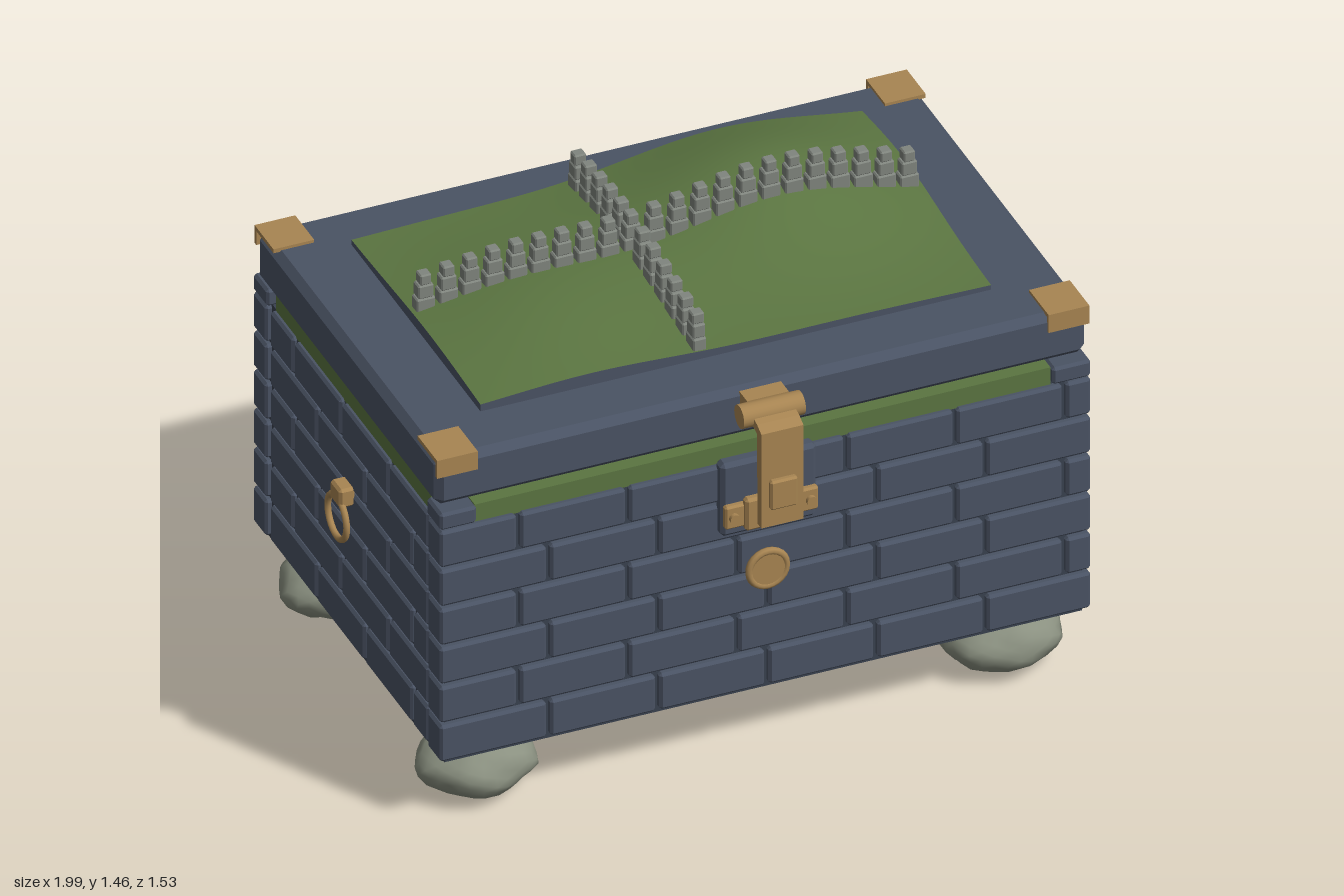
import * as THREE from 'three';
import { ConvexGeometry } from 'three/addons/geometries/ConvexGeometry.js';
import { mergeVertices } from 'three/addons/utils/BufferGeometryUtils.js';

const material = (name, color) => {
  const m = new THREE.MeshStandardMaterial({ color });
  m.name = name;
  return m;
};

const CX = 0.015, CZ = -0.025; // centre of the chest body

export function createModel() {
  const slate = material('slate', 0x4a5364);
  const mortar = material('mortar', 0x39414f);
  const brass = material('brass', 0xa88552);
  const moss = material('moss', 0x5b7541);
  const stone = material('stone', 0x80857e);
  const rock = material('rock', 0x8a9080);

  const model = new THREE.Group();
  model.name = 'stoneChest';
  const group = (name) => {
    const g = new THREE.Group();
    g.name = name;
    model.add(g);
    return g;
  };
  const add = (parent, name, geometry, mat, x = 0, y = 0, z = 0) => {
    const m = new THREE.Mesh(geometry, mat);
    m.name = name;
    m.position.set(x, y, z);
    parent.add(m);
    return m;
  };

  // Box given by its limits, with optional chamfered edges
  const box = (parent, name, mat, x0, x1, y0, y1, z0, z1, c = 0) => {
    const w = (x1 - x0) / 2, h = (y1 - y0) / 2, d = (z1 - z0) / 2;
    let geo = new THREE.BoxGeometry(2 * w, 2 * h, 2 * d);
    if (c > 0) {
      const pts = [];
      for (const i of [-1, 1]) for (const j of [-1, 1]) for (const k of [-1, 1]) {
        pts.push(new THREE.Vector3(i * w, j * (h - c), k * (d - c)),
          new THREE.Vector3(i * (w - c), j * h, k * (d - c)),
          new THREE.Vector3(i * (w - c), j * (h - c), k * d));
      }
      geo = new ConvexGeometry(pts);
    }
    return add(parent, name, geo, mat, (x0 + x1) / 2, (y0 + y1) / 2, (z0 + z1) / 2);
  };

  // Cylinder lying along x or z
  const rod = (parent, name, mat, r, length, axis, x, y, z, sides = 20) => {
    const geo = new THREE.CylinderGeometry(r, r, length, sides);
    if (axis === 'x') geo.rotateZ(Math.PI / 2);
    else geo.rotateX(Math.PI / 2);
    return add(parent, name, geo, mat, x, y, z);
  };

  // Core and base
  const body = group('body');
  box(body, 'core', mortar, -0.94, 0.97, 0.215, 0.995, -0.66, 0.61);
  box(body, 'base', slate, -0.89, 0.915, 0.188, 0.23, -0.585, 0.54, 0.008);

  // Brick walls: six courses with alternating seams
  const bricks = group('bricks');
  const course = (start, end, first, pitch) => {
    const cuts = [start];
    for (let s = first; s < end - 0.03; s += pitch) cuts.push(s);
    cuts.push(end);
    return cuts;
  };
  const gap = 0.006;
  for (let row = 0; row < 6; row++) {
    const y1 = 0.99 - row * 0.1285, y0 = y1 - 0.118, odd = row % 2;
    const along = course(-0.96, 0.99, odd ? -0.635 : -0.725, 0.327);
    for (let i = 0; i + 1 < along.length; i++) {
      const a = along[i] + (i ? gap : 0);
      const b = along[i + 1] - (i + 2 < along.length ? gap : 0);
      box(bricks, 'frontBrick', slate, a, b, y0, y1, 0.54, 0.63, 0.008);
      box(bricks, 'backBrick', slate, a, b, y0, y1, -0.68, -0.59, 0.008);
    }
    const across = course(-0.578, 0.53, odd ? -0.245 : -0.41, 0.332);
    for (let i = 0; i + 1 < across.length; i++) {
      const a = across[i] + gap, b = across[i + 1] - gap;
      box(bricks, 'leftBrick', slate, 0.9, 0.985, y0, y1, a, b, 0.008);
      box(bricks, 'rightBrick', slate, -0.955, -0.87, y0, y1, a, b, 0.008);
    }
  }

  // Moss band and corner blocks on the rim
  const rim = group('rim');
  box(rim, 'mossBandLong', moss, -0.85, 0.875, 0.985, 1.046, -0.66, 0.613);
  box(rim, 'mossBandWide', moss, -0.94, 0.97, 0.985, 1.045, -0.562, 0.518);
  for (const [x0, x1] of [[-0.96, -0.85], [0.875, 0.99]]) {
    box(rim, 'frontCornerBlock', slate, x0, x1, 0.995, 1.05, 0.53, 0.63, 0.008);
    box(rim, 'backCornerBlock', slate, x0, x1, 0.995, 1.05, -0.68, -0.58, 0.008);
  }

  // Lid with brass corner brackets
  const lid = group('lid');
  box(lid, 'lidSlab', slate, -0.96, 0.99, 1.053, 1.21, -0.652, 0.602, 0.022);
  for (const [x0, x1] of [[-0.962, -0.84], [0.87, 0.992]]) {
    box(lid, 'frontBracketTop', brass, x0, x1, 1.206, 1.219, 0.475, 0.61);
    box(lid, 'frontBracketFlange', brass, x0, x1, 1.16, 1.219, 0.6, 0.612);
    box(lid, 'backBracketTop', brass, x0, x1, 1.206, 1.219, -0.662, -0.53);
    box(lid, 'backBracketFlange', brass, x0, x1, 1.16, 1.219, -0.662, -0.65);
  }

  // Hilly ground on the lid: grass on top, slate on the sides
  const bump = (x, z, cx, cz, sx, sz) =>
    Math.exp(-((x - cx) ** 2) / (2 * sx * sx) - ((z - cz) ** 2) / (2 * sz * sz));
  const height = (x, z) => 1.222 + 0.148 * bump(x, z, 0.35, -0.2, 0.29, 0.26)
    + 0.062 * bump(x, z, -0.42, 0.06, 0.24, 0.28);
  const ground = new THREE.BoxGeometry(1.53, 0.02, 0.9, 40, 1, 26);
  ground.translate(CX, 1.21, -0.03);
  const gp = ground.attributes.position;
  for (let i = 0; i < gp.count; i++) {
    if (gp.getY(i) > 1.21) gp.setY(i, height(gp.getX(i), gp.getZ(i)));
  }
  ground.computeVertexNormals();
  add(model, 'hillyGround', ground, [slate, slate, moss, slate, slate, slate]);

  // Two crossing walls of small stepped towers that follow the ground
  const walls = group('miniatureWalls');
  const tower = (x, z, alongX) => {
    const y = height(x, z);
    [[0.056, -0.02, 0.035], [0.046, 0.035, 0.078], [0.034, 0.078, 0.112]].forEach(([w, y0, y1], i) => {
      const a = w / 2, b = 0.02 - i * 0.001;
      const hx = alongX ? a : b, hz = alongX ? b : a;
      box(walls, 'towerStep', stone, x - hx, x + hx, y + y0, y + y1, z - hz, z + hz, 0.004);
    });
  };
  for (let i = 0; i < 22; i++) tower(-0.71 + i * 0.069, -0.07, true);
  for (let i = 0; i < 12; i++) if (i !== 5) tower(-0.09, -0.435 + i * 0.0748, false);

  // Front latch: lock plate, hinged hasp, catch and round boss
  const latch = group('latch');
  box(latch, 'lockPlate', slate, -0.13, 0.157, 0.77, 1.01, 0.61, 0.658, 0.012);
  box(latch, 'haspMount', brass, -0.05, 0.075, 1.13, 1.2, 0.595, 0.65);
  rod(latch, 'haspPin', brass, 0.035, 0.185, 'x', 0.013, 1.165, 0.664);
  const strap = new THREE.Shape([
    [0.66, 1.18], [0.66, 1.15], [0.72, 1.135], [0.722, 0.84], [0.75, 0.84], [0.75, 1.15], [0.72, 1.165],
  ].map(([z, y]) => new THREE.Vector2(-z, y)));
  const strapGeo = new THREE.ExtrudeGeometry(strap, { depth: 0.126, bevelEnabled: false });
  strapGeo.rotateY(Math.PI / 2);
  add(latch, 'haspStrap', strapGeo, brass, -0.05, 0, 0);
  box(latch, 'haspStud', brass, -0.028, 0.054, 0.9, 0.995, 0.74, 0.766, 0.006);
  box(latch, 'catchPlate', brass, -0.125, 0.155, 0.805, 0.88, 0.65, 0.675, 0.006);
  box(latch, 'catchBlock', brass, -0.07, 0.095, 0.795, 0.9, 0.66, 0.69, 0.008);
  for (const x of [-0.1, 0.13]) rod(latch, 'rivet', brass, 0.015, 0.02, 'z', x, 0.843, 0.677, 12);
  rod(latch, 'boss', brass, 0.055, 0.03, 'z', 0.013, 0.63, 0.64, 24);
  add(latch, 'bossRim', new THREE.TorusGeometry(0.056, 0.011, 8, 24), brass, 0.013, 0.63, 0.647);

  // Back hinges
  const hinges = group('hinges');
  for (const x of [-0.58, 0.61]) {
    box(hinges, 'upperLeaf', brass, x - 0.09, x + 0.09, 1.05, 1.14, -0.73, -0.64, 0.008);
    rod(hinges, 'barrel', brass, 0.039, 0.22, 'x', x, 1.046, -0.722);
    box(hinges, 'lowerLeaf', brass, x - 0.075, x + 0.075, 0.815, 1.03, -0.703, -0.678, 0.005);
  }

  // Ring handle on the right side
  const handle = group('ringHandle');
  box(handle, 'handleMount', brass, -0.998, -0.95, 0.7, 0.762, -0.055, 0.015, 0.008);
  const ring = add(handle, 'ring', new THREE.TorusGeometry(0.066, 0.01, 8, 28), brass, -0.988, 0.652, CZ);
  ring.rotation.y = Math.PI / 2;

  // Rough boulder feet
  const feet = group('feet');
  [[-0.77, 1], [0.8, 1], [-0.77, -1], [0.8, -1]].forEach(([dx, side], n) => {
    let geo = new THREE.IcosahedronGeometry(1, 4);
    geo.deleteAttribute('normal');
    geo.deleteAttribute('uv');
    geo = mergeVertices(geo, 1e-4);
    const p = geo.attributes.position;
    for (let i = 0; i < p.count; i++) {
      const x = p.getX(i), y = p.getY(i), z = p.getZ(i);
      const r = 0.98 + 0.05 * Math.sin(5 * x + 3 * y + n * 1.7) * Math.cos(4 * z - 2 * y + n)
        + 0.03 * Math.sin(11 * z + 7 * x + n) * Math.sin(9 * y + n);
      p.setXYZ(i, x * r * 0.175, y * r * 0.1, z * r * 0.148);
    }
    geo.computeVertexNormals();
    geo.computeBoundingBox();
    add(feet, 'boulderFoot', geo, rock, dx - 0.008, -geo.boundingBox.min.y, CZ + side * 0.483);
  });

  return model;
}
